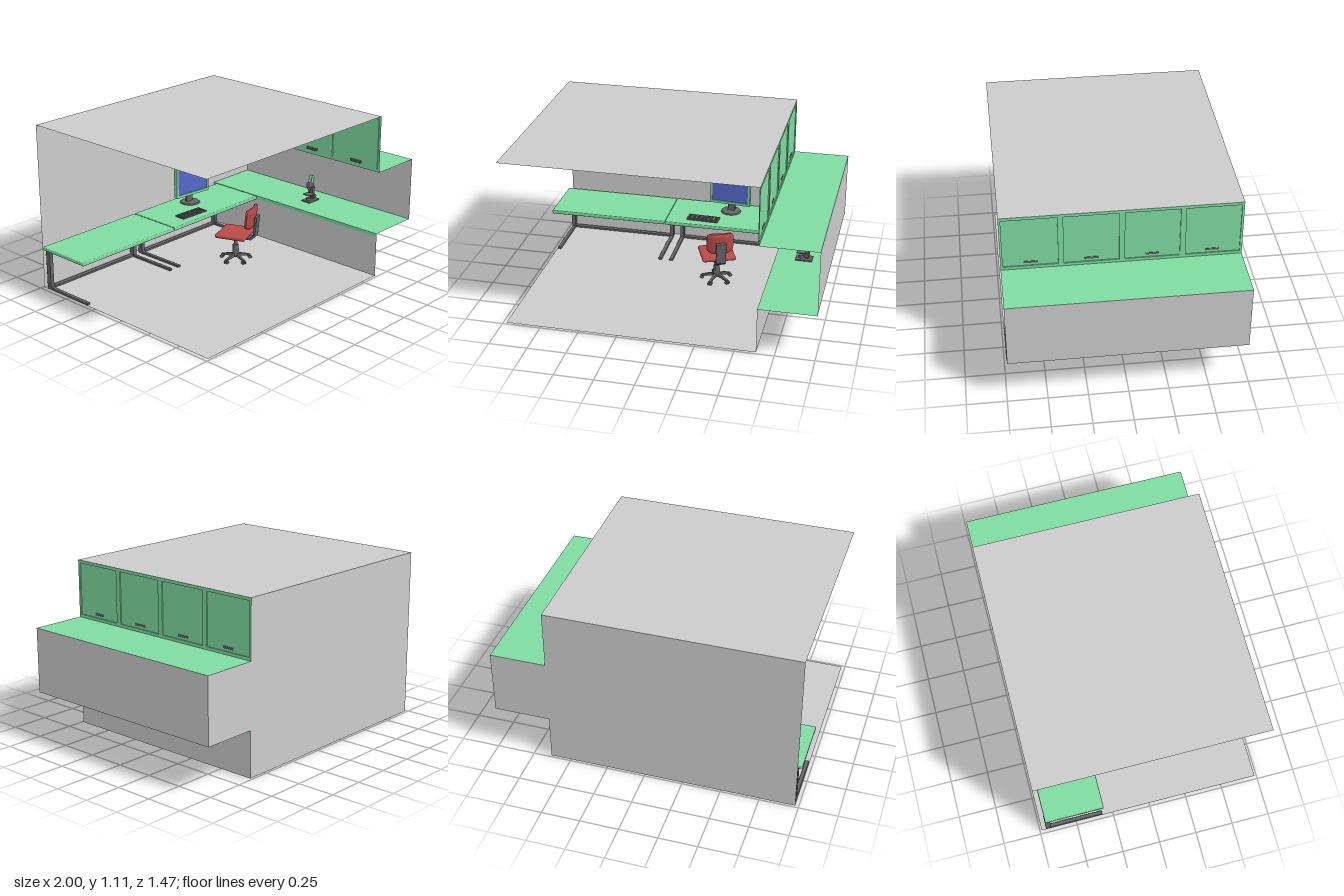
import * as THREE from 'three';
import { RoundedBoxGeometry } from 'three/addons/geometries/RoundedBoxGeometry.js';

const mat = (color) => new THREE.MeshStandardMaterial({ color, side: THREE.DoubleSide });
const grey = mat(0xcccccc), green = mat(0x7fdba0), dark = mat(0x666666);
const red = mat(0xb84a48), blue = mat(0x5468cc), orange = mat(0xb5764a);

function add(parent, name, geometry, material, x = 0, y = 0, z = 0) {
  const mesh = new THREE.Mesh(geometry, material);
  mesh.name = name;
  mesh.position.set(x, y, z);
  parent.add(mesh);
  return mesh;
}
function group(parent, name, x = 0, y = 0, z = 0, turn = 0) {
  const g = new THREE.Group();
  g.name = name;
  g.position.set(x, y, z);
  g.rotation.y = turn;
  parent.add(g);
  return g;
}
const box = (w, h, d) => new THREE.BoxGeometry(w, h, d);
const soft = (w, h, d, r) => new RoundedBoxGeometry(w, h, d, 3, r);
const tube = (r1, r2, h, n = 20) => new THREE.CylinderGeometry(r1, r2, h, n);
const outline = (points) => new THREE.Shape(points.map(([x, y]) => new THREE.Vector2(x, y)));
const rect = (x0, y0, x1, y1) => [[x0, y0], [x1, y0], [x1, y1], [x0, y1]];

const L = -0.978, R = 0.634, OUT = 1, Z = 0.737, TOP = 1.11, SILL = 0.303, HEAD = 0.73, EDGE = 0.28;

// Thin room shell, open at the front and on one side, with a long alcove
function addRoom(root) {
  const room = group(root, 'room');
  const level = (name, x0, x1, y, m, up) => {
    const g = new THREE.PlaneGeometry(x1 - x0, 2 * Z).rotateX(up ? -Math.PI / 2 : Math.PI / 2);
    add(room, name, g, m, (x0 + x1) / 2, y, 0);
  };
  const side = (name, y0, y1, x, m) => {
    const g = new THREE.PlaneGeometry(2 * Z, y1 - y0).rotateY(-Math.PI / 2);
    add(room, name, g, m, x, (y0 + y1) / 2, 0);
  };
  level('floor', L, R, 0.002, grey, true);
  level('ceiling', L, R, TOP, grey, false);
  level('alcoveCounter', R, OUT, SILL, green, true);
  level('alcoveTop', R, OUT, HEAD, green, false);
  side('lowerWall', 0, EDGE, R, grey);
  side('counterEdge', EDGE, SILL, R, green);
  side('alcoveWall', SILL, HEAD, OUT, grey);
  const back = outline([[L, 0], [R, 0], [R, SILL], [OUT, SILL], [OUT, HEAD], [R, HEAD], [R, TOP], [L, TOP]]);
  add(room, 'backWall', new THREE.ShapeGeometry(back), grey, 0, 0, -Z);
}

// Wall cupboards: a face frame with four doors raised towards the room
function addCupboards(root) {
  const cupboards = group(root, 'cupboards');
  const w = 0.335, h = 0.34, yMid = 0.92;
  const frame = outline(rect(-Z, HEAD, Z, TOP));
  for (let i = 0; i < 4; i++) {
    const c = -0.555 + 0.37 * i;
    frame.holes.push(outline(rect(c - w / 2, yMid - h / 2, c + w / 2, yMid + h / 2)));
    const door = box(0.007, h, w);
    door.setIndex(Array.from(door.index.array).slice(6)); // open rear of the door
    add(cupboards, 'cupboardDoor', door, green, R - 0.0035, yMid, c);
    add(cupboards, 'doorHandle', soft(0.018, 0.016, 0.085, 0.004), dark, R - 0.014, 0.773, c);
  }
  add(cupboards, 'cupboardFrame', new THREE.ShapeGeometry(frame).rotateY(-Math.PI / 2), green, R);
}

// Desk with C-shaped legs
function addDesk(root, x0, x1, legs) {
  const desk = group(root, 'desk');
  add(desk, 'deskTop', soft(x1 - x0, 0.025, 0.39, 0.006), green, (x0 + x1) / 2, 0.291, -0.51);
  for (const x of legs) {
    add(desk, 'deskUpright', box(0.026, 0.27, 0.035), dark, x, 0.143, -0.69);
    add(desk, 'deskFoot', soft(0.026, 0.016, 0.385, 0.005), dark, x, 0.008, -0.513);
    add(desk, 'deskArm', box(0.024, 0.014, 0.32), dark, x, 0.272, -0.545);
  }
  add(desk, 'deskRail', box(legs[1] - legs[0], 0.012, 0.03), dark, (legs[0] + legs[1]) / 2, 0.012, -0.69);
}

// Swivel chair turned towards the desk
function addChair(root) {
  const chair = group(root, 'chair', 0.212, 0, -0.135, 0.38);
  add(chair, 'seat', soft(0.225, 0.028, 0.215, 0.013), red, 0, 0.196, -0.005);
  add(chair, 'seatPan', soft(0.1, 0.016, 0.11, 0.005), dark, 0, 0.176, 0);
  add(chair, 'column', tube(0.013, 0.013, 0.08), dark, 0, 0.135, 0);
  add(chair, 'columnSleeve', tube(0.02, 0.023, 0.075), dark, 0, 0.075, 0);
  add(chair, 'hub', tube(0.022, 0.026, 0.025), dark, 0, 0.04, 0);

  // Backrest cushion, wrapped slightly around the sitter
  const cushion = new THREE.BoxGeometry(0.18, 0.15, 0.032, 16, 14, 4);
  const p = cushion.attributes.position;
  for (let i = 0; i < p.count; i++) {
    const u = p.getX(i) / 0.09, v = p.getY(i) / 0.075;
    const round = Math.pow(Math.abs(u), 5) * Math.pow(Math.abs(v), 5);
    const rim = 1 - 0.6 * Math.pow(Math.max(Math.abs(u), Math.abs(v)), 6);
    p.setXYZ(i, p.getX(i) * (1 - 0.2 * round), p.getY(i) * (1 - 0.2 * round),
      p.getZ(i) * rim - 0.02 * u * u);
  }
  cushion.computeVertexNormals();
  add(chair, 'backrest', cushion, red, 0, 0.33, 0.125).rotation.x = 0.1;

  // Bent spine from the seat pan up behind the cushion
  const spine = outline([[0, 0.17], [0.12, 0.17], [0.15, 0.195], [0.163, 0.34],
    [0.148, 0.345], [0.136, 0.205], [0.115, 0.183], [0, 0.183]]);
  const spineGeometry = new THREE.ExtrudeGeometry(spine, { depth: 0.066, bevelEnabled: false });
  add(chair, 'spine', spineGeometry.translate(0, 0, -0.033).rotateY(-Math.PI / 2), dark);

  // Five-star base with casters
  const arm = outline([[0.01, 0.028], [0.1, 0.02], [0.105, 0.028], [0.06, 0.041], [0.01, 0.05]]);
  for (let i = 0; i < 5; i++) {
    const leg = group(chair, 'baseLeg', 0, 0, 0, i * Math.PI * 0.4 + 0.3);
    add(leg, 'legArm', new THREE.ExtrudeGeometry(arm, { depth: 0.016, bevelEnabled: false }), dark, 0, 0, -0.008);
    for (const z of [-0.008, 0.008]) {
      add(leg, 'caster', tube(0.012, 0.012, 0.009, 16).rotateX(Math.PI / 2), dark, 0.1, 0.011, z);
    }
  }
}

// Screen and keyboard on the desk
function addComputer(root) {
  const monitor = group(root, 'monitor', 0.22, SILL, -0.56, -0.1);
  const rim = outline(rect(-0.143, 0.067, 0.143, 0.282));
  rim.holes.push(outline(rect(-0.128, 0.085, 0.128, 0.267)));
  add(monitor, 'screenFrame', new THREE.ExtrudeGeometry(rim, { depth: 0.03, bevelEnabled: false }), green, 0, 0, -0.015);
  add(monitor, 'screen', box(0.256, 0.182, 0.016), blue, 0, 0.176, 0);
  add(monitor, 'screenBack', soft(0.25, 0.18, 0.03, 0.01), green, 0, 0.174, -0.02);
  add(monitor, 'standNeck', box(0.05, 0.13, 0.016), dark, 0, 0.068, -0.03);
  add(monitor, 'standFoot', tube(0.065, 0.07, 0.008, 28), dark, 0, 0.004, -0.02);

  const keyboard = group(root, 'keyboard', 0.06, SILL, -0.41, -0.04);
  add(keyboard, 'keyboardBody', soft(0.22, 0.01, 0.08, 0.004), dark, 0, 0.006, 0);
  for (let row = 0; row < 4; row++) {
    for (let col = 0; col < 12; col++) {
      add(keyboard, 'key', box(0.013, 0.005, 0.013), dark, -0.0935 + col * 0.017, 0.0125, -0.026 + row * 0.017);
    }
  }
}

// Microscope standing on the alcove counter
function addMicroscope(root) {
  const scope = group(root, 'microscope', 0.82, SILL, 0.02);
  add(scope, 'scopeBase', soft(0.11, 0.01, 0.075, 0.004), dark, 0, 0.005, 0);
  add(scope, 'lamp', tube(0.014, 0.018, 0.018), dark, -0.02, 0.018, 0);
  add(scope, 'stage', box(0.06, 0.006, 0.06), dark, -0.018, 0.052, 0);
  add(scope, 'stageSupport', box(0.025, 0.02, 0.02), dark, 0.008, 0.04, 0);
  add(scope, 'scopeArm', soft(0.022, 0.105, 0.026, 0.005), dark, 0.018, 0.058, 0);
  add(scope, 'armTrim', box(0.008, 0.09, 0.018), orange, 0.031, 0.053, 0);
  add(scope, 'focusKnob', tube(0.013, 0.013, 0.056).rotateX(Math.PI / 2), dark, 0.018, 0.035, 0);
  add(scope, 'scopeHead', soft(0.052, 0.034, 0.034, 0.007), dark, -0.004, 0.12, 0);
  add(scope, 'nosepiece', tube(0.016, 0.013, 0.016), dark, -0.016, 0.098, 0);
  add(scope, 'objective', tube(0.007, 0.004, 0.03), dark, -0.016, 0.075, 0);
  for (const z of [-0.011, 0.011]) {
    add(scope, 'eyepiece', tube(0.009, 0.008, 0.06), green, 0.006, 0.156, z).rotation.z = -0.35;
  }
}

export function createModel() {
  const root = new THREE.Group();
  root.name = 'laboratoryOffice';
  addRoom(root);
  addCupboards(root);
  addDesk(root, -1, -0.196, [-0.962, -0.228]);
  addDesk(root, -0.192, 0.63, [-0.15, 0.585]);
  addChair(root);
  addComputer(root);
  addMicroscope(root);
  return root;
}
